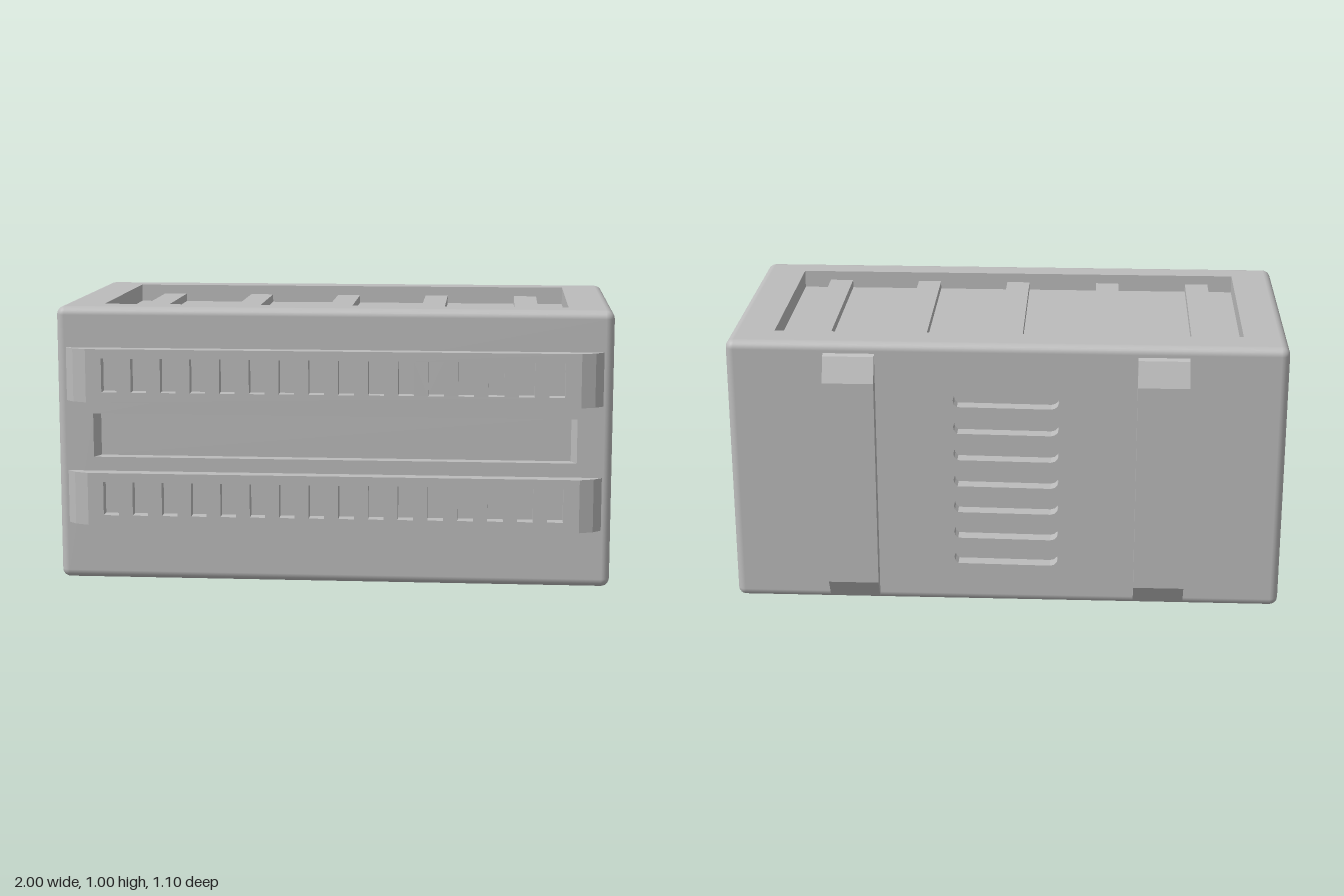
import * as THREE from 'three';
import { RoundedBoxGeometry } from 'three/addons/geometries/RoundedBoxGeometry.js';

const R = 0.03; // rounding of the crate's edges
const gray = new THREE.MeshStandardMaterial({ color: 0xbcbcbc });
gray.name = 'gray';

const v2 = (pts) => pts.map(([x, y]) => new THREE.Vector2(x, y));
const rect = (x0, x1, y0, y1) => [[x0, y0], [x1, y0], [x1, y1], [x0, y1]];

function add(parent, name, geometry) {
  const mesh = new THREE.Mesh(geometry, gray);
  mesh.name = name;
  parent.add(mesh);
  return mesh;
}

// Rectangle with semicircular ends
function pill(x0, x1, y0, y1) {
  const r = (y1 - y0) / 2, cy = (y0 + y1) / 2, pts = [];
  for (let i = 0; i <= 12; i++) {
    const right = i <= 6;
    const a = -Math.PI / 2 + Math.PI * (right ? i : i - 1) / 6;
    if (i === 6) pts.push([x1 - r, y1], [x0 + r, y1]);
    else pts.push([(right ? x1 - r : x0 + r) + r * Math.cos(a), cy + r * Math.sin(a)]);
  }
  return pts;
}

// Side walls joining a recess rim to its floor
function recessWalls(rim, floor, z, depth) {
  const pos = [];
  const flip = THREE.ShapeUtils.isClockWise(v2(rim));
  for (let i = 0; i < rim.length; i++) {
    const j = (i + 1) % rim.length;
    const [a, b] = flip ? [j, i] : [i, j];
    const o0 = [...rim[a], z], o1 = [...rim[b], z];
    const f0 = [...floor[a], z - depth], f1 = [...floor[b], z - depth];
    pos.push(...o0, ...o1, ...f1, ...o0, ...f1, ...f0);
  }
  const g = new THREE.BufferGeometry();
  g.setAttribute('position', new THREE.Float32BufferAttribute(pos, 3));
  g.computeVertexNormals();
  return g;
}

// Flat face with recesses; each recess may hold further recesses in its floor
function cutFace(parent, name, outline, recesses = [], z = 0) {
  const shape = new THREE.Shape(v2(outline));
  for (const h of recesses) shape.holes.push(new THREE.Path(v2(h.rim)));
  add(parent, name, new THREE.ShapeGeometry(shape).translate(0, 0, z));
  for (const h of recesses) {
    const floor = h.floor || h.rim;
    add(parent, h.name + 'Walls', recessWalls(h.rim, floor, z, h.depth));
    cutFace(parent, h.name + 'Floor', floor, h.inner, z - h.depth);
  }
}

// Rounded edges, corners and underside: the rounded box without its other flat faces
function edgeShell() {
  const src = new RoundedBoxGeometry(2, 1, 1, 3, R);
  const p = src.attributes.position, n = src.attributes.normal;
  const pos = [], nor = [];
  const flat = (i) => Math.max(Math.abs(n.getX(i)), n.getY(i), Math.abs(n.getZ(i))) > 0.9999;
  for (let t = 0; t < p.count; t += 3) {
    if (flat(t) && flat(t + 1) && flat(t + 2)) continue;
    for (let i = t; i < t + 3; i++) {
      pos.push(p.getX(i), p.getY(i), p.getZ(i));
      nor.push(n.getX(i), n.getY(i), n.getZ(i));
    }
  }
  const g = new THREE.BufferGeometry();
  g.setAttribute('position', new THREE.Float32BufferAttribute(pos, 3));
  g.setAttribute('normal', new THREE.Float32BufferAttribute(nor, 3));
  return g.translate(0, 0.5, 0);
}

function side(root, name, x, y, z, rx, ry) {
  const g = new THREE.Group();
  g.name = name;
  g.position.set(x, y, z);
  g.rotation.set(rx, ry, 0);
  root.add(g);
  return g;
}

// End wall: handle slot, control panel with dial, optional forked groove
function endWall(root, name, sign) {
  const g = side(root, name, sign, 0, 0, 0, sign * Math.PI / 2);
  const m = (pts) => pts.map(([u, v]) => [u * sign, v]);
  const recesses = [
    { name: 'handleSlot', rim: m(rect(-0.305, 0.315, 0.61, 0.84)), floor: m(rect(-0.305, 0.315, 0.61, 0.805)), depth: 0.1 },
    {
      name: 'controlPanel', rim: m(rect(-0.375, -0.02, 0.1, 0.51)), floor: m(rect(-0.35, -0.045, 0.125, 0.485)), depth: 0.05,
      inner: [{ name: 'panelSlot', rim: m(rect(-0.3, -0.065, 0.15, 0.197)), depth: 0.03 }],
    },
  ];
  if (sign > 0) {
    recesses.push({
      name: 'forkedGroove', depth: 0.04,
      rim: [[0.126, 0.097], [0.206, 0.097], [0.206, 0.235], [0.406, 0.446], [0.348, 0.502],
        [0.206, 0.353], [0.206, 0.503], [0.126, 0.503]],
    });
  }
  cutFace(g, 'endFace', rect(-0.5 + R, 0.5 - R, R, 1 - R), recesses);

  // Faceted dial
  const profile = v2([[0.088, 0], [0.093, 0.012], [0.09, 0.028], [0.072, 0.043], [0, 0.046]]);
  const dial = new THREE.LatheGeometry(profile, 14).rotateX(Math.PI / 2).toNonIndexed();
  dial.computeVertexNormals();
  add(g, 'dial', dial).position.set(-0.237 * sign, 0.37, -0.05);
}

// Front rail with a row of slots and tapered ends
function frontRail(parent, name, y0, y1) {
  const g = new THREE.Group();
  g.name = name;
  parent.add(g);
  const slots = [];
  for (let i = 0; i < 16; i++) {
    const x = -0.8 + i * 1.6 / 15;
    slots.push({ name: 'railSlot', rim: rect(x - 0.028, x + 0.028, y0 + 0.037, y1 - 0.033), depth: 0.045 });
  }
  cutFace(g, 'railFace', rect(-0.885, 0.885, y0, y1), slots, 0.05);
  for (const [y, r] of [[y0, Math.PI / 2], [y1, -Math.PI / 2]]) {
    add(g, 'railEdge', new THREE.PlaneGeometry(1.77, 0.05).rotateX(r).translate(0, y, 0.025));
  }
  for (const s of [-1, 1]) {
    const end = new THREE.Shape(v2([[0.885, 0], [0.965, 0], [0.935, 0.03], [0.885, 0.05]].map(([x, z]) => [x * s, -z])));
    const geo = new THREE.ExtrudeGeometry(end, { depth: y1 - y0, bevelEnabled: false });
    add(g, 'railEnd', geo.rotateX(-Math.PI / 2).translate(0, y0, 0));
  }
}

export function createModel() {
  const root = new THREE.Group();
  root.name = 'crate';
  add(root, 'crateEdges', edgeShell());
  const longFace = rect(-1 + R, 1 - R, R, 1 - R);

  // Front: long recess between two slotted rails
  const front = side(root, 'front', 0, 0, 0.5, 0, 0);
  cutFace(front, 'frontFace', longFace, [
    { name: 'frontRecess', rim: rect(-0.87, 0.875, 0.453, 0.612), floor: rect(-0.85, 0.855, 0.453, 0.612), depth: 0.045 },
  ]);
  frontRail(front, 'lowerRail', 0.21, 0.402);
  frontRail(front, 'upperRail', 0.66, 0.853);

  // Back: column of vents between two straps
  const back = side(root, 'back', 0, 0, -0.5, 0, Math.PI);
  const vents = [];
  for (let i = 0; i < 7; i++) {
    const y = 0.79 - i * 0.102;
    vents.push({ name: 'vent', rim: pill(-0.19, 0.19, y - 0.029, y + 0.029), depth: 0.05 });
  }
  cutFace(back, 'backFace', longFace, vents);
  const strap = new THREE.Shape(v2([[0.02, 0.01], [-0.008, 0.018], [-0.05, 0.09], [-0.05, 0.865], [-0.012, 0.953], [0.02, 0.975]]));
  for (const x of [-0.65, 0.467]) {
    const geo = new THREE.ExtrudeGeometry(strap, { depth: 0.183, bevelEnabled: false });
    add(back, 'strap', geo.rotateY(Math.PI / 2).translate(x, 0, 0));
  }

  endWall(root, 'leftEnd', 1);
  endWall(root, 'rightEnd', -1);

  // Top: shallow tray with cross slats
  const top = side(root, 'top', 0, 1, 0, -Math.PI / 2, 0);
  cutFace(top, 'topFace', rect(-1 + R, 1 - R, -0.5 + R, 0.5 - R), [
    { name: 'topTray', rim: rect(-0.843, 0.84, -0.385, 0.37), depth: 0.065 },
  ]);
  for (let i = 0; i < 5; i++) {
    add(top, 'slat', new THREE.BoxGeometry(0.088, 0.755, 0.03)).position.set(-0.706 + i * 0.35, -0.0075, -0.05);
  }
  return root;
}
